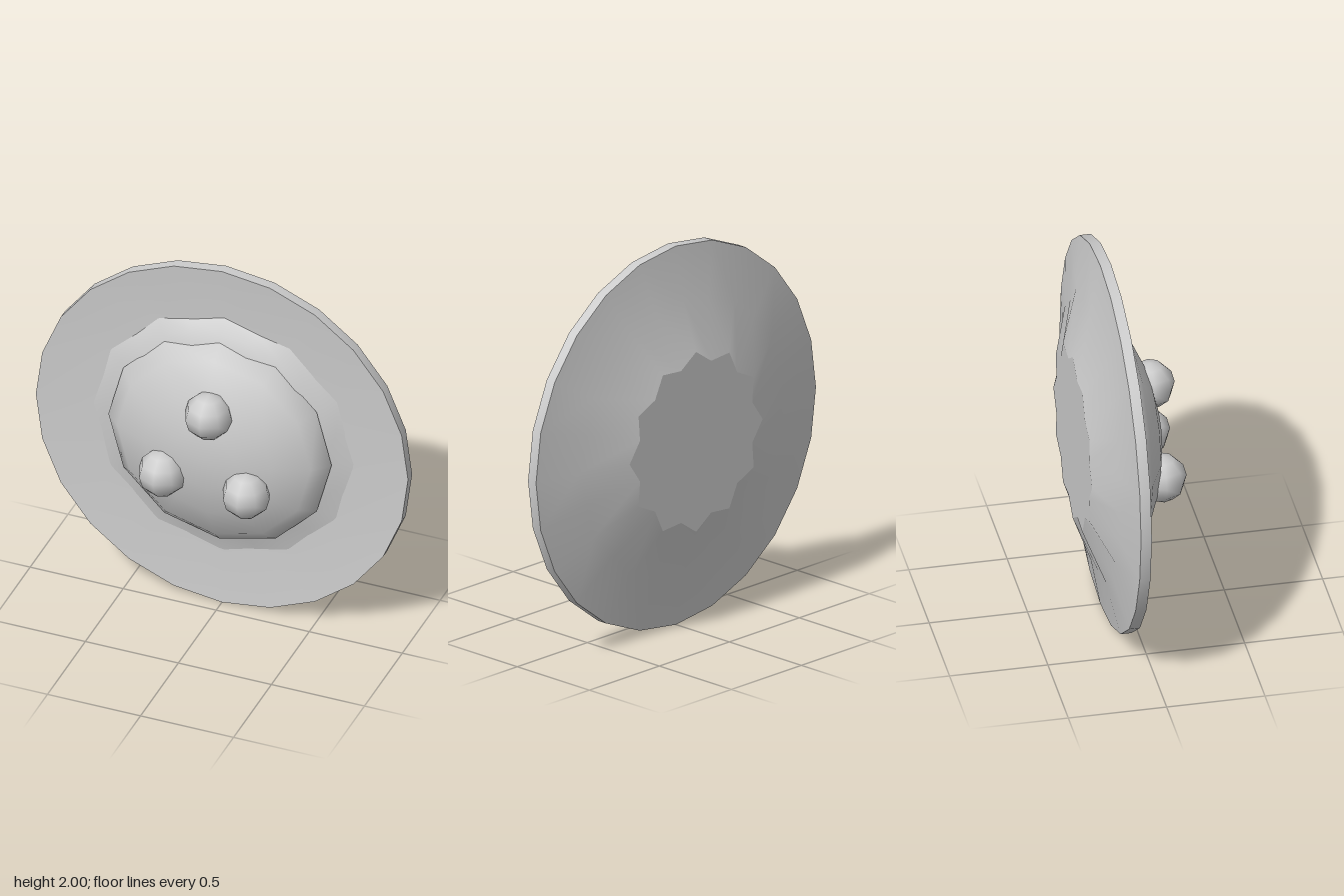
import * as THREE from 'three';
import { mergeVertices } from 'three/addons/utils/BufferGeometryUtils.js';

const grey = new THREE.MeshStandardMaterial({ color: 0xcccccc });

// Smooth skin through rings around the z axis, listed from front to back.
// Each ring is [z, radius of even corners, radius of odd corners].
function ringSkin(rings, sides, lift = () => 0) {
  const pos = [], index = [];
  rings.forEach(([z, even, odd = even], j) => {
    for (let i = 0; i < sides; i++) {
      const a = (i / sides) * Math.PI * 2, r = i % 2 ? odd : even;
      pos.push(r * Math.cos(a), 1 + r * Math.sin(a), z + lift(a, j));
      if (j === rings.length - 1) continue;
      const k = (i + 1) % sides;
      const p = j * sides + i, q = j * sides + k;
      index.push(p, p + sides, q + sides, p, q + sides, q);
    }
  });
  const g = new THREE.BufferGeometry();
  g.setAttribute('position', new THREE.Float32BufferAttribute(pos, 3));
  g.setIndex(index);
  const merged = mergeVertices(g);
  merged.computeVertexNormals();
  return merged;
}

export function createModel() {
  const model = new THREE.Group();
  const add = (name, geometry) => {
    const mesh = new THREE.Mesh(geometry, grey);
    mesh.name = name;
    model.add(mesh);
    return mesh;
  };

  // Plate: slightly dished front, thin rim, stepped back with a star-shaped flat
  add('plateFront', ringSkin([[-0.1, 0], [-0.1, 0.7, 0.67], [-0.075, 1]], 24));
  add('plateRim', ringSkin([[-0.075, 1], [-0.13, 1]], 24));
  add('plateBack', ringSkin([[-0.13, 1], [-0.178, 0.735, 0.71], [-0.27, 0.475, 0.415]], 24));
  add('backFlat', ringSkin([[-0.27, 0.475, 0.415], [-0.27, 0]], 24));

  // Collar: uneven fillet around the dome, swept higher at the top
  const sweep = (a, j) => (j < 2 ? Math.max(0, Math.sin(a)) * 0.03 : 0);
  add('collar', ringSkin([[-0.06, 0.56], [-0.085, 0.63], [-0.103, 0.71, 0.68]], 24, sweep));

  // Dome: shallow boss with a slightly undercut edge
  add('dome', ringSkin([
    [0.16, 0], [0.15, 0.17], [0.11, 0.34], [0.03, 0.52], [-0.05, 0.6], [-0.085, 0.57],
  ], 12));

  // Three round studs on the dome
  const stud = new THREE.SphereGeometry(0.125, 8, 6);
  const places = { topStud: [0.01, 1.26, 0.125], rightStud: [-0.235, 0.86, 0.135], leftStud: [0.22, 0.85, 0.145] };
  for (const [name, place] of Object.entries(places)) add(name, stud).position.set(...place);

  return model;
}
